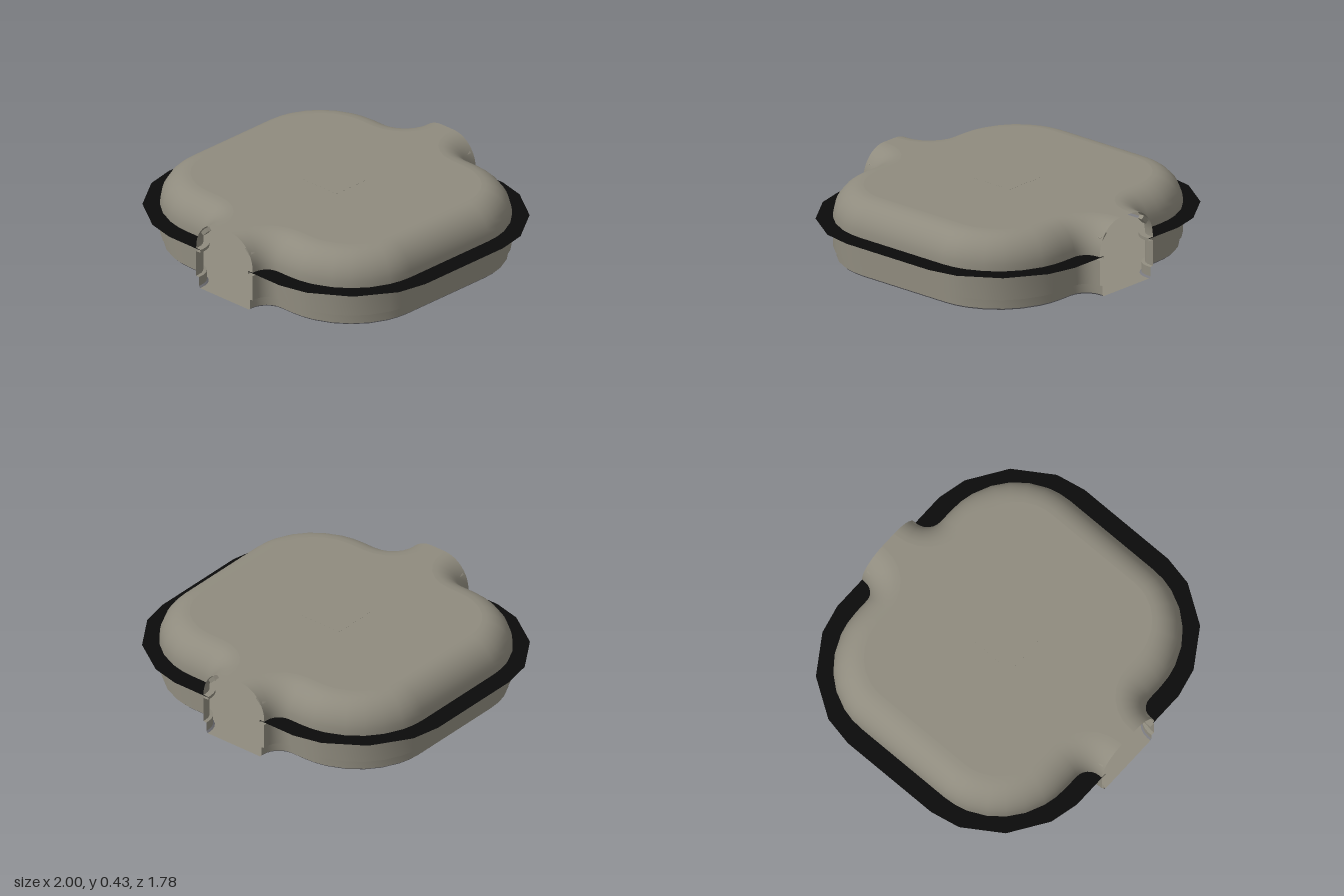
import * as THREE from 'three';

const mat = (name, color) => new THREE.MeshStandardMaterial({ name, color, side: THREE.DoubleSide });

// Half of the plan outline on the +x side, from the front door to the back door, inset by d
function sideOutline(d) {
  const q = [[0.22 - d, 0.89]];
  // concave fillet between door stub and wall
  for (let i = 0; i <= 6; i++) {
    const a = Math.PI + (i / 6) * Math.PI / 2, r = 0.09 + d;
    q.push([0.31 + r * Math.cos(a), 0.87 + r * Math.sin(a)]);
  }
  // large rounded room corner
  for (const deg of [90, 81, 72, 58, 45, 32, 18, 9, 0]) {
    const a = deg * Math.PI / 180;
    q.push([0.40 + (0.487 - d) * Math.cos(a), 0.31 + (0.47 - d) * Math.sin(a)]);
  }
  return [...q, ...q.slice().reverse().map(([x, z]) => [x, -z])];
}
const mirrored = (pts) => pts.map(([x, z]) => [-x, z]).reverse();

// Wall strip following the outline through a profile of [inset, height]
function loft(profile, left) {
  const rows = profile.map(([d, y]) => {
    const p = left ? mirrored(sideOutline(d)) : sideOutline(d);
    return p.map(([x, z]) => [x, y, z]);
  });
  const n = rows[0].length, index = [];
  for (let j = 0; j < rows.length - 1; j++) {
    for (let i = 0; i < n - 1; i++) {
      const a = j * n + i, b = a + 1, c = a + n, e = c + 1;
      index.push(a, b, c, b, e, c);
    }
  }
  const g = new THREE.BufferGeometry();
  g.setAttribute('position', new THREE.Float32BufferAttribute(rows.flat(2), 3));
  g.setIndex(index);
  g.computeVertexNormals();
  return g;
}

// Flat horizontal sheet from plan points
function sheet(pts, y, up) {
  const g = new THREE.ShapeGeometry(new THREE.Shape(pts.map(([x, z]) => new THREE.Vector2(x, up ? -z : z))));
  g.rotateX(up ? -Math.PI / 2 : Math.PI / 2);
  g.translate(0, y, 0);
  return g;
}

export function createModel() {
  const group = new THREE.Group();
  group.name = 'domedRoom';
  const shell = mat('warm grey', 0x8f8b7e);
  const trim = mat('cool grey', 0x77777c);
  const black = mat('black', 0x0a0a0a);
  const add = (name, geometry, material = shell) => {
    const m = new THREE.Mesh(geometry, material);
    m.name = name;
    group.add(m);
    return m;
  };

  // Dome: quarter-ellipse shoulder above a short vertical edge
  const dome = [[0, 0.24]];
  for (let i = 0; i <= 10; i++) {
    const a = (i / 10) * Math.PI / 2;
    dome.push([0.17 * (1 - Math.cos(a)), 0.25 + 0.18 * Math.sin(a)]);
  }

  // Stacked wall bands, each with its own smooth normals so ledges stay sharp
  const bands = {
    baseTrim: [[0.03, 0], [0.02, 0.01]],
    base: [[0.02, 0.01], [0.02, 0.065]],
    lowerLedge: [[0.02, 0.065], [0, 0.068]],
    wall: [[0, 0.068], [0, 0.22]],
    upperLedge: [[0, 0.22], [0.035, 0.222]],
    recess: [[0.035, 0.222], [0.035, 0.24]],
    domeLip: [[0.035, 0.24], [0, 0.24]],
    dome,
  };
  for (const [name, profile] of Object.entries(bands)) {
    for (const left of [false, true]) {
      add(name, loft(profile, left), name === 'baseTrim' ? trim : shell);
    }
  }

  // Roof and floor close the shell, leaving both doorways open
  const closed = (d) => [...sideOutline(d), ...mirrored(sideOutline(d))];
  add('roof', sheet(closed(0.17), 0.43, true));
  add('floor', sheet(closed(0.03), 0, false));
  add('roofPanel', new THREE.BoxGeometry(0.27, 0.002, 0.27)).position.y = 0.4295;

  // Black faceted flange around the recess, split by the doorways
  const corner = [[0.43, 0.89], [0.6, 0.85], [0.82, 0.705], [0.965, 0.485], [1, 0.31]];
  const rim = [...corner, ...corner.slice().reverse().map(([x, z]) => [x, -z])];
  const flange = [...rim, ...sideOutline(0.034).reverse()];
  add('leftFlange', sheet(flange, 0.236, true), black);
  add('rightFlange', sheet(mirrored(flange), 0.236, true), black);

  // Small brackets inside each door arch
  for (const sx of [-1, 1]) {
    for (const sz of [-1, 1]) {
      const b = add('archBracket', new THREE.BoxGeometry(0.05, 0.025, 0.03));
      b.position.set(sx * 0.172, 0.352, sz * 0.86);
      b.rotation.z = -sx * Math.PI / 4;
    }
  }
  return group;
}
